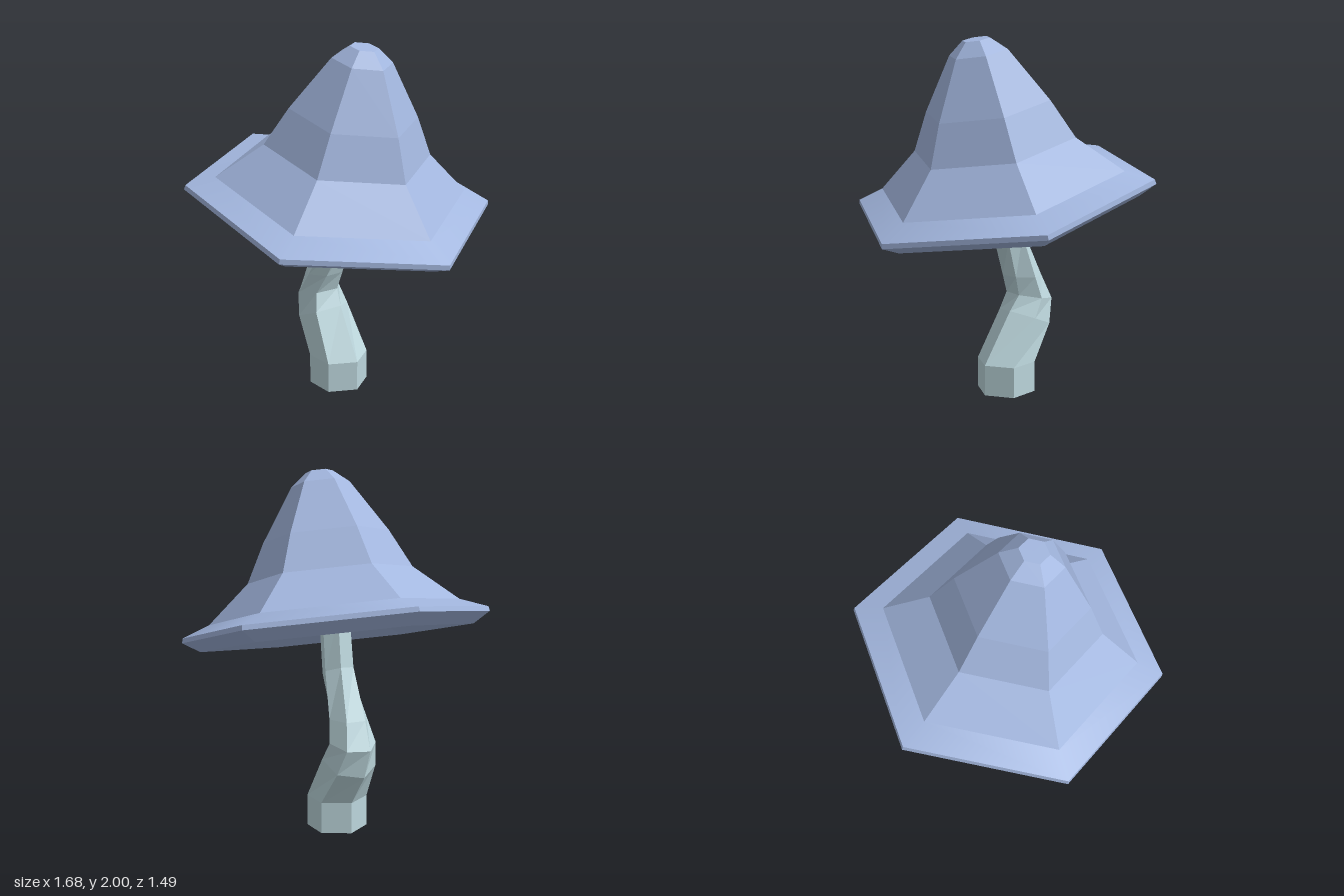
import * as THREE from 'three';

const SIDES = 6;

// Six-sided lathe with a corner on +x; facets are flat unless smooth is set
function hexLathe(profile, smooth = false) {
  const points = profile.map(([r, y]) => new THREE.Vector2(r, y));
  const geometry = new THREE.LatheGeometry(points, SIDES, Math.PI / 2);
  if (smooth) return geometry;
  const flat = geometry.toNonIndexed();
  flat.computeVertexNormals();
  return flat;
}

// Crooked stem: each section is [x, y, z, radius, tilt, twist in degrees]
function stemGeometry(sections) {
  const rows = sections.length - 1;
  const geometry = new THREE.CylinderGeometry(1, 1, 1, SIDES, rows, false, Math.PI / 2);
  const pos = geometry.attributes.position;
  for (let i = 0; i < pos.count; i++) {
    const row = Math.round((pos.getY(i) + 0.5) * rows);
    const [cx, cy, cz, r, tilt, twist] = sections[row];
    const reach = r * Math.hypot(pos.getX(i), pos.getZ(i));
    const angle = Math.atan2(pos.getZ(i), pos.getX(i)) + THREE.MathUtils.degToRad(twist);
    const across = reach * Math.cos(angle);
    pos.setXYZ(i, cx + across * Math.cos(tilt), cy + across * Math.sin(tilt), cz + reach * Math.sin(angle));
  }
  const flat = geometry.toNonIndexed();
  flat.computeVertexNormals();
  return flat;
}

export function createModel() {
  const model = new THREE.Group();
  model.name = 'mushroom';
  const capMaterial = new THREE.MeshStandardMaterial({ color: 0xa3b7df });
  const stemMaterial = new THREE.MeshStandardMaterial({ color: 0xbcd6dc });

  const add = (parent, name, geometry, material) => {
    const mesh = new THREE.Mesh(geometry, material);
    mesh.name = name;
    parent.add(mesh);
  };

  // Tilted cap, profiles run from the underside up to the tip
  const cap = new THREE.Group();
  cap.name = 'cap';
  cap.position.y = 1.145;
  cap.rotation.z = -0.217;
  model.add(cap);

  add(cap, 'capUnderside', hexLathe([
    [0, 0.025], [0.48, 0.025], [0.763, -0.07], [0.86, -0.01], [0.855, 0.016],
  ]), capMaterial);
  add(cap, 'capBrim', hexLathe([[0.855, 0.016], [0.7, 0.074]], true), capMaterial);
  add(cap, 'capCrown', hexLathe([
    [0.7, 0.074], [0.461, 0.281], [0.352, 0.496], [0.164, 0.789], [0.077, 0.86], [0, 0.86],
  ]), capMaterial);

  // Bent, twisting stem that ends inside the cap
  add(model, 'stem', stemGeometry([
    [-0.033, 0, -0.007, 0.168, 0, 0],
    [-0.033, 0.175, -0.007, 0.168, 0, 0],
    [-0.178, 0.405, -0.012, 0.15, 0.4, -7],
    [-0.218, 0.525, -0.01, 0.132, 0.2, -17],
    [-0.16, 0.655, -0.008, 0.113, 0.05, -27],
    [-0.05, 0.9, -0.01, 0.092, -0.35, -43],
    [-0.01, 1.19, -0.01, 0.088, -0.217, -45],
  ]), stemMaterial);

  return model;
}
